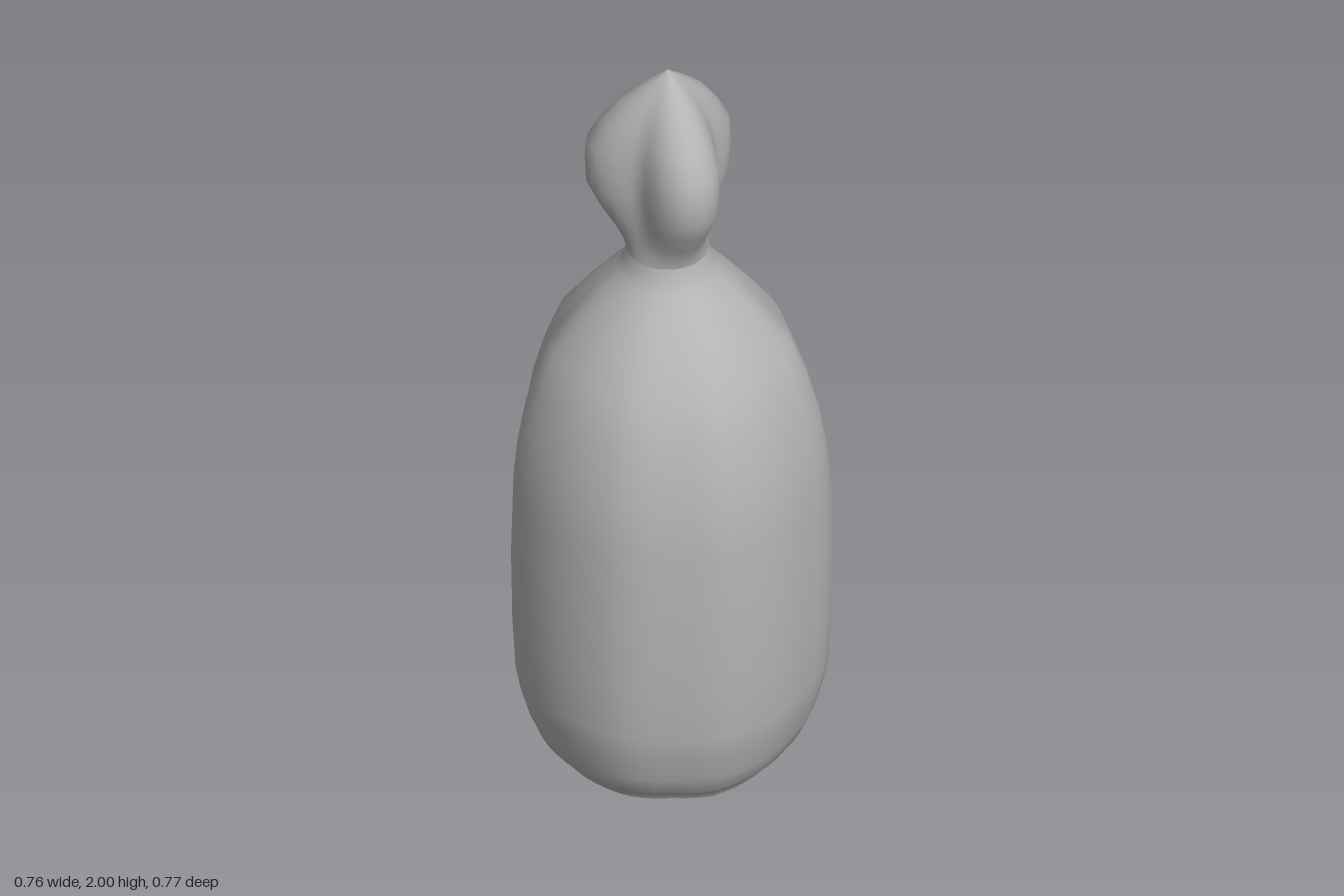
import * as THREE from 'three';

const SEG = 54;

// Uneven body radius every 20 degrees, starting at +x and turning towards +z
const OUTLINE = [0.382, 0.388, 0.38, 0.404, 0.388, 0.392, 0.398, 0.38, 0.39,
  0.384, 0.382, 0.388, 0.364, 0.386, 0.386, 0.367, 0.388, 0.379];

function outlineFactor(a) {
  const t = a / (Math.PI * 2) * OUTLINE.length;
  const i = Math.floor(t) % OUTLINE.length, f = t - Math.floor(t);
  return THREE.MathUtils.lerp(OUTLINE[i], OUTLINE[(i + 1) % OUTLINE.length], f) / 0.385;
}

// Smooth skin over rings stacked from bottom to top; radius(row, angle) shapes each ring
function skin(rows, radius) {
  const pos = [], index = [];
  rows.forEach((row, j) => {
    for (let i = 0; i < SEG; i++) {
      const a = i / SEG * Math.PI * 2, r = radius(row, a);
      pos.push(r * Math.cos(a), row[0], r * Math.sin(a));
      if (j === rows.length - 1) continue;
      const p = j * SEG + i, q = j * SEG + (i + 1) % SEG;
      index.push(p, p + SEG, q, q, p + SEG, q + SEG);
    }
  });
  const g = new THREE.BufferGeometry();
  g.setAttribute('position', new THREE.Float32BufferAttribute(pos, 3));
  g.setIndex(index);
  g.computeVertexNormals();
  return g;
}

export function createModel() {
  const group = new THREE.Group();
  const grey = new THREE.MeshStandardMaterial({ color: 0xb4b4b4 });
  grey.name = 'grey';
  const add = (name, geometry) => {
    const m = new THREE.Mesh(geometry, grey);
    m.name = name;
    group.add(m);
  };

  // Bottle body: height, radius
  const bodyRows = [[0, 0.275], [0.02, 0.285], [0.05, 0.315], [0.1, 0.335], [0.18, 0.357],
    [0.25, 0.37], [0.4, 0.378], [0.6, 0.381], [0.8, 0.376], [0.9, 0.367], [1.0, 0.35],
    [1.1, 0.323], [1.2, 0.285], [1.3, 0.212], [1.36, 0.165], [1.41, 0.122], [1.44, 0.107], [1.47, 0.1]];
  const bodyRadius = ([y, r], a) =>
    r * THREE.MathUtils.lerp(outlineFactor(a), 1, THREE.MathUtils.smoothstep(y, 1.2, 1.47));
  add('body', skin(bodyRows, bodyRadius));

  // Flat underside
  const rim = [];
  for (let i = 0; i < SEG; i++) {
    const a = i / SEG * Math.PI * 2, r = bodyRadius(bodyRows[0], a);
    rim.push(new THREE.Vector2(r * Math.cos(a), r * Math.sin(a)));
  }
  add('base', new THREE.ShapeGeometry(new THREE.Shape(rim)).rotateX(Math.PI / 2));

  // Three-lobed stopper: height, lobe radius, valley radius
  const stopperRows = [[1.47, 0.1, 0.1], [1.5, 0.108, 0.098], [1.54, 0.13, 0.1], [1.6, 0.168, 0.108],
    [1.66, 0.198, 0.114], [1.72, 0.201, 0.116], [1.78, 0.195, 0.114], [1.84, 0.16, 0.104],
    [1.9, 0.115, 0.083], [1.95, 0.06, 0.05], [1.98, 0.024, 0.021], [2, 0, 0]];
  add('stopper', skin(stopperRows, ([, lobe, valley], a) =>
    (lobe + valley) / 2 + (lobe - valley) / 2 * Math.cos(3 * a)));

  return group;
}
